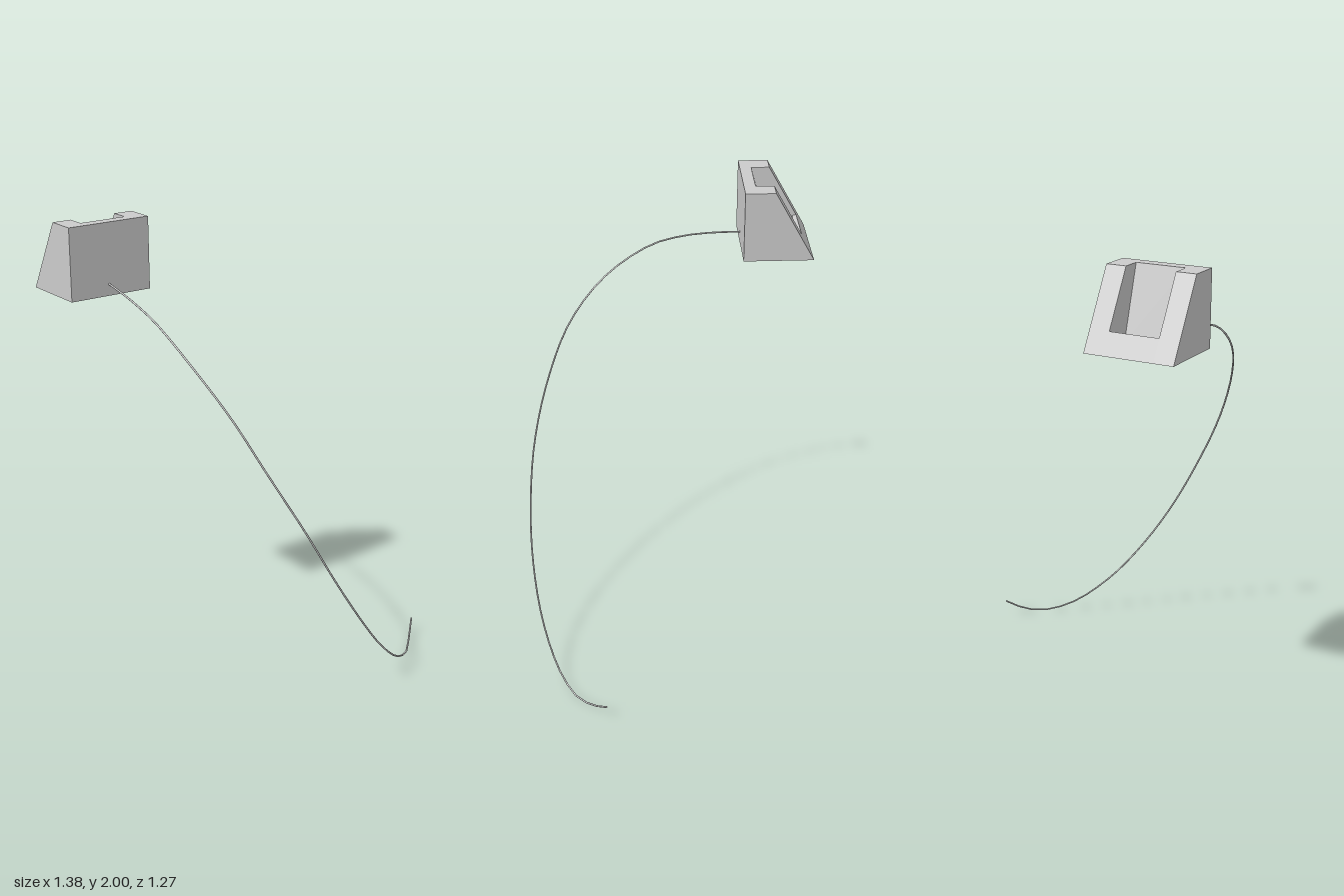
import * as THREE from 'three';

const material = new THREE.MeshStandardMaterial({ color: 0xcccccc, flatShading: true });

// Extrudes a side profile of [z, y] points from x0 to x1
function slab(name, profile, x0, x1) {
  const shape = new THREE.Shape(profile.map(([z, y]) => new THREE.Vector2(-z, y)));
  const geometry = new THREE.ExtrudeGeometry(shape, { depth: x1 - x0, bevelEnabled: false });
  geometry.rotateY(Math.PI / 2).translate(x0, 0, 0);
  const mesh = new THREE.Mesh(geometry, material);
  mesh.name = name;
  return mesh;
}

export function createModel() {
  const model = new THREE.Group();
  model.name = 'dockWithCable';

  // Wedge-shaped stand: two cheeks either side of a slotted centre
  const dock = new THREE.Group();
  dock.name = 'dock';
  const wedge = [[-0.33, 1.69], [-0.635, 1.69], [-0.46, 2], [-0.33, 2]];
  const slotted = [
    [-0.33, 1.69], [-0.635, 1.69],
    [-0.587, 1.775], [-0.57, 1.77],   // lip
    [-0.57, 1.735], [-0.467, 1.71],   // pocket bottom
    [-0.38, 2], [-0.33, 2],           // leaning back rest
  ];
  dock.add(
    slab('rightCheek', wedge, -0.69, -0.605),
    slab('slottedCentre', slotted, -0.605, -0.395),
    slab('leftCheek', wedge, -0.395, -0.31),
  );
  model.add(dock);

  // Thin cable sweeping down from the front of the dock
  const path = new THREE.CatmullRomCurve3([
    [-0.51, 1.74, -0.33], [-0.527, 1.73, -0.2], [-0.54, 1.708, -0.06], [-0.54, 1.667, 0.07],
    [-0.51, 1.535, 0.27], [-0.437, 1.35, 0.43], [-0.335, 1.12, 0.535], [-0.2, 0.865, 0.605],
    [-0.06, 0.617, 0.63], [0.08, 0.405, 0.625], [0.235, 0.21, 0.59], [0.385, 0.073, 0.53],
    [0.46, 0.03, 0.49], [0.53, 0.007, 0.447], [0.585, 0.01, 0.4], [0.64, 0.035, 0.35],
    [0.69, 0.072, 0.305],
  ].map((p) => new THREE.Vector3(...p)));
  const cable = new THREE.Mesh(
    new THREE.TubeGeometry(path, 40, 0.004, 8),
    new THREE.MeshStandardMaterial({ color: 0xcccccc, side: THREE.DoubleSide }),
  );
  cable.name = 'cable';
  model.add(cable);

  return model;
}
